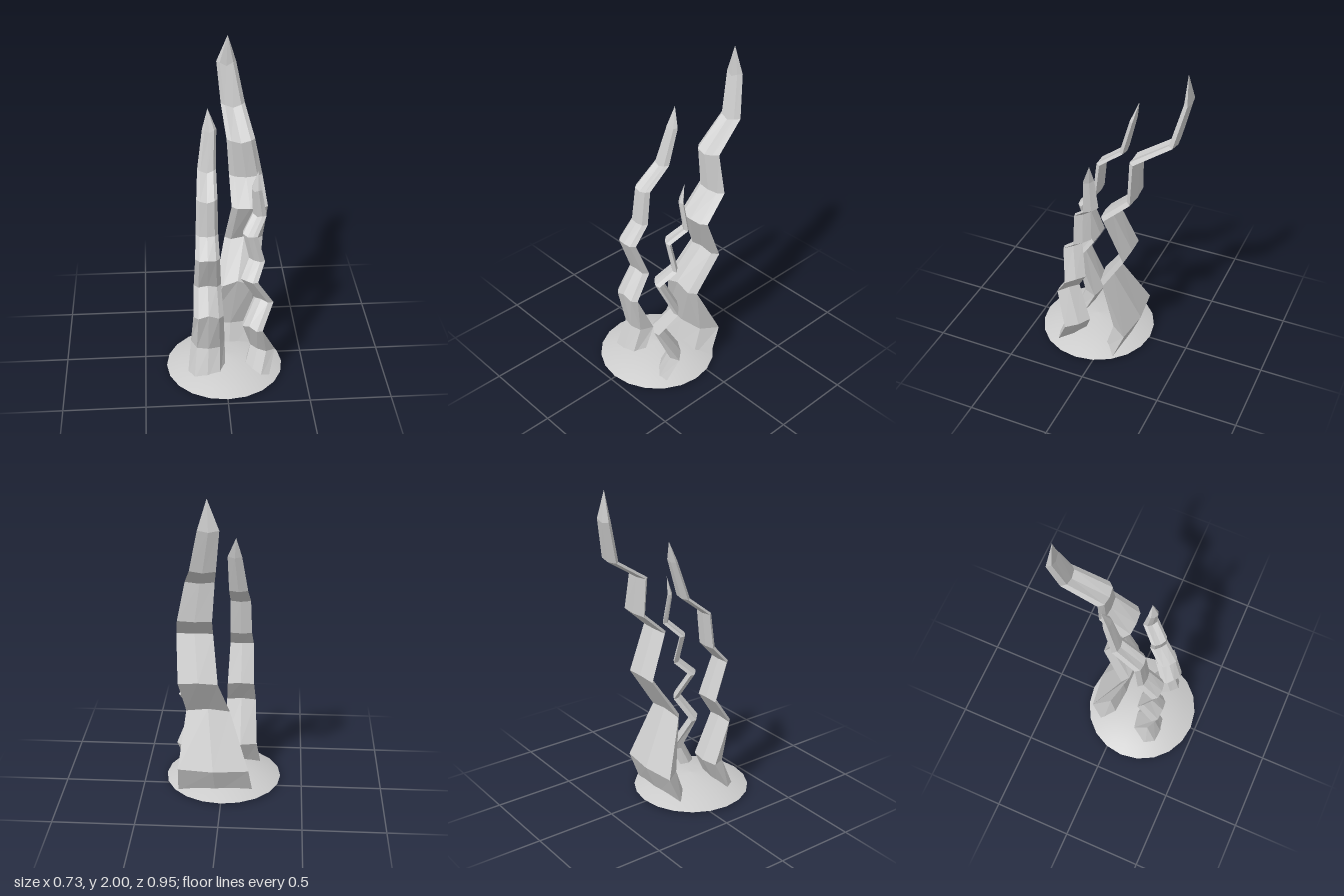
import * as THREE from 'three';

const grey = { color: 0xcccccc };

// Ribbon blade: rows are [x, y, z, halfWidth, thickness]; the last row is the tip.
function blade(name, rows, heading) {
  const cos = Math.cos(heading), sin = Math.sin(heading);
  const top = rows[rows.length - 1][1];
  const pos = [], idx = [];
  rows.forEach(([x, y, z, w, t], i) => {
    // creases bow up near the foot and down near the tip
    const bow = i < 2 ? 0 : w * 0.55 * (1 - 1.8 * y / top);
    const section = [
      [-w, -t / 2, 0], [-0.68 * w, t / 2, 0], [0, t * 0.7, bow],
      [0.68 * w, t / 2, 0], [w, -t / 2, 0], [0, -t * 0.75, bow * 0.5],
    ];
    for (const [u, d, dy] of section) {
      pos.push(x + u * cos - d * sin, y + dy, z + u * sin + d * cos);
    }
  });
  const n = 6;
  for (let i = 0; i < rows.length - 1; i++) {
    for (let j = 0; j < n; j++) {
      const a = i * n + j, b = i * n + (j + 1) % n;
      idx.push(a, b, b + n);
      if (i < rows.length - 2) idx.push(a, b + n, a + n);
    }
  }
  const geo = new THREE.BufferGeometry();
  geo.setAttribute('position', new THREE.Float32BufferAttribute(pos, 3));
  geo.setIndex(idx);
  geo.computeVertexNormals();
  const mesh = new THREE.Mesh(geo, new THREE.MeshStandardMaterial({
    ...grey, flatShading: true, side: THREE.DoubleSide,
  }));
  mesh.name = name;
  return mesh;
}

export function createModel() {
  const group = new THREE.Group();

  // Low mound the blades grow from
  const profile = [[0.365, 0.01], [0.29, 0.04], [0.2, 0.065], [0.1, 0.083], [0, 0.09]]
    .map(([r, y]) => new THREE.Vector2(r, y));
  const mound = new THREE.Mesh(
    new THREE.LatheGeometry(profile, 20),
    new THREE.MeshStandardMaterial({ ...grey, side: THREE.DoubleSide }),
  );
  mound.name = 'mound';
  mound.position.z = 0.11;
  mound.scale.z = 0.99;
  group.add(mound);

  // Tall blade at the back
  group.add(blade('tallBlade', [
    [0.04, 0, -0.06, 0.235, 0.08],
    [0.05, 0.2, -0.13, 0.218, 0.1],
    [0.09, 0.53, -0.005, 0.135, 0.035],
    [0.14, 0.78, -0.155, 0.12, 0.03],
    [0.165, 1.06, -0.035, 0.11, 0.03],
    [0.152, 1.2, -0.19, 0.102, 0.03],
    [0.12, 1.44, -0.185, 0.086, 0.03],
    [0.087, 1.58, -0.4, 0.074, 0.03],
    [0.05, 1.83, -0.46, 0.06, 0.026],
    [0.058, 2, -0.455, 0, 0],
  ], 0));

  // Middle blade on the right
  group.add(blade('middleBlade', [
    [-0.118, 0.02, 0.265, 0.118, 0.06],
    [-0.105, 0.22, 0.18, 0.105, 0.08],
    [-0.105, 0.48, 0.27, 0.092, 0.03],
    [-0.105, 0.64, 0.165, 0.083, 0.03],
    [-0.107, 0.88, 0.255, 0.073, 0.028],
    [-0.105, 0.99, 0.155, 0.067, 0.028],
    [-0.102, 1.21, 0.13, 0.062, 0.026],
    [-0.095, 1.33, -0.02, 0.056, 0.026],
    [-0.075, 1.56, -0.085, 0.042, 0.022],
    [-0.083, 1.68, -0.12, 0, 0],
  ], 0));

  // Short blade, turned toward the mound's middle
  group.add(blade('shortBlade', [
    [0.18, 0.02, 0.235, 0.095, 0.05],
    [0.225, 0.18, 0.17, 0.088, 0.055],
    [0.155, 0.38, 0.255, 0.076, 0.028],
    [0.232, 0.53, 0.168, 0.07, 0.026],
    [0.135, 0.71, 0.225, 0.064, 0.025],
    [0.188, 0.8, 0.135, 0.06, 0.024],
    [0.145, 0.98, 0.15, 0.054, 0.022],
    [0.208, 1.07, 0.065, 0.05, 0.022],
    [0.188, 1.25, 0.085, 0.036, 0.02],
    [0.2, 1.36, 0.07, 0, 0],
  ], 0.7));

  return group;
}
